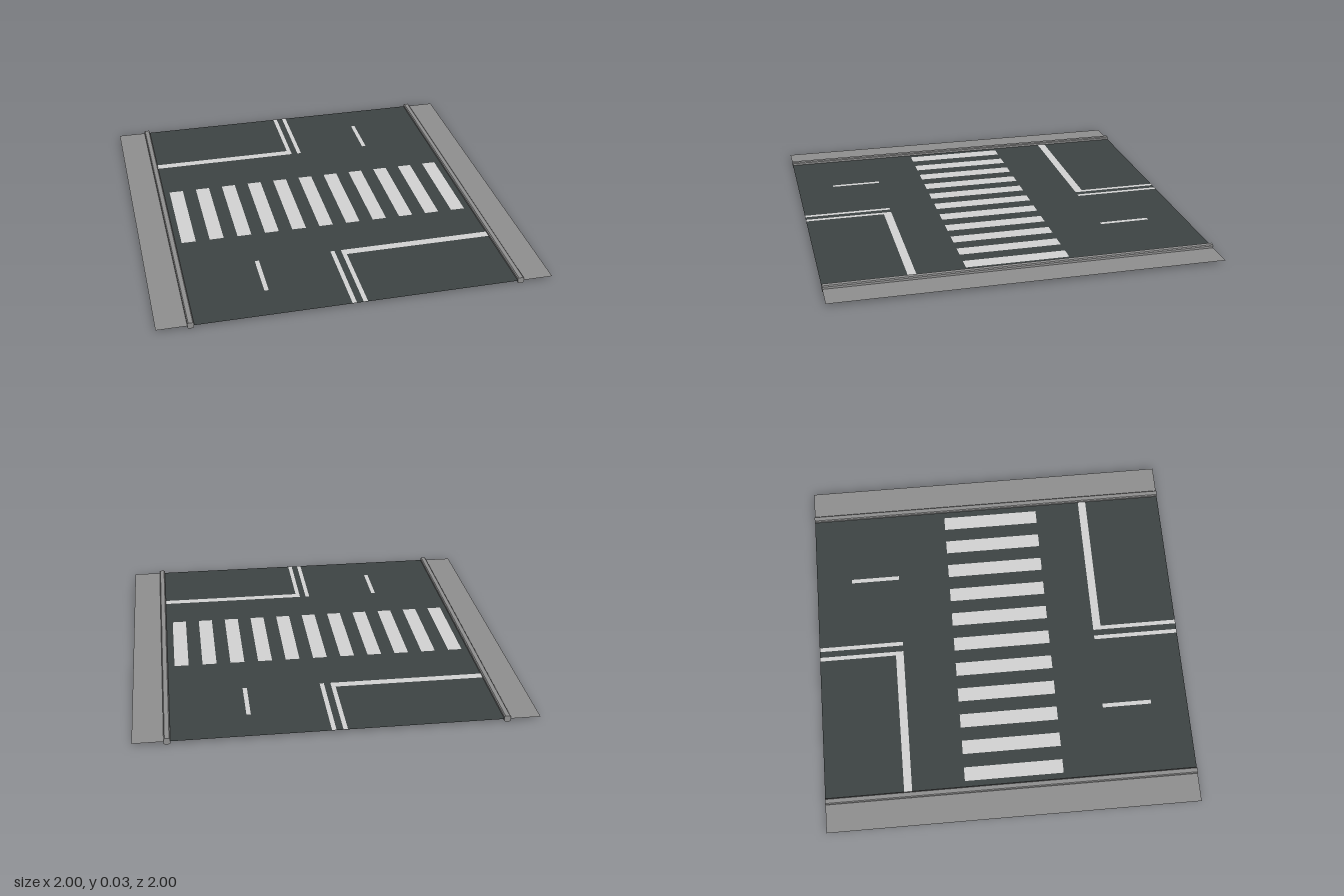
import * as THREE from 'three';

const GROUND = 0.016; // height of the road and pavement sheets

export function createModel() {
  const model = new THREE.Group();
  const asphalt = new THREE.MeshStandardMaterial({ name: 'asphalt', color: 0x3e4444, side: THREE.DoubleSide });
  const concrete = new THREE.MeshStandardMaterial({ name: 'concrete', color: 0x909090, side: THREE.DoubleSide });
  const paint = new THREE.MeshStandardMaterial({ name: 'roadPaint', color: 0xd4d4d4 });

  // Flat sheet spanning x0..x1 and z0..z1, facing up
  function sheet(name, material, x0, x1, z0, z1, y = GROUND) {
    const geometry = new THREE.PlaneGeometry(x1 - x0, z1 - z0).rotateX(-Math.PI / 2);
    const mesh = new THREE.Mesh(geometry, material);
    mesh.name = name;
    mesh.position.set((x0 + x1) / 2, y, (z0 + z1) / 2);
    model.add(mesh);
  }
  const stripe = (name, x0, x1, z0, z1) => sheet(name, paint, x0, x1, z0, z1, GROUND + 0.002);

  sheet('road', asphalt, -0.83, 0.83, -1, 1);

  // Kerb section: a small square with chamfered corners
  const a = 0.016, b = 0.011;
  const section = new THREE.Shape(
    [[a, -b], [a, b], [b, a], [-b, a], [-a, b], [-a, -b], [-b, -a], [b, -a]].map(([x, y]) => new THREE.Vector2(x, y))
  );
  const kerbGeometry = new THREE.ExtrudeGeometry(section, { depth: 2, bevelEnabled: false }).translate(0, a, -1);

  for (const [side, s] of [['left', 1], ['right', -1]]) {
    const kerb = new THREE.Mesh(kerbGeometry, concrete);
    kerb.name = side + 'Kerb';
    kerb.position.x = s * 0.833;
    model.add(kerb);
    sheet(side + 'Pavement', concrete, s > 0 ? 0.835 : -1, s > 0 ? 1 : -0.835, -1, 1);
  }

  // Crossing bars
  for (let i = -5; i <= 5; i++) {
    const x = i * 0.149 - 0.001;
    stripe('crossingBar', x - 0.0375, x + 0.0375, -0.25, 0.283);
  }

  // Double centre line on both sides of the crossing
  for (const x of [-0.039, 0.017]) {
    stripe('backCentreLine', x, x + 0.022, -1, -0.535);
    stripe('frontCentreLine', x, x + 0.022, 0.535, 1);
  }

  // Stop lines, butted against the centre lines, and lane dashes
  stripe('backStopLine', -0.818, -0.039, -0.578, -0.535);
  stripe('frontStopLine', 0.039, 0.818, 0.535, 0.578);
  stripe('backLaneDash', 0.417, 0.439, -0.802, -0.535);
  stripe('frontLaneDash', -0.439, -0.417, 0.535, 0.802);

  return model;
}
